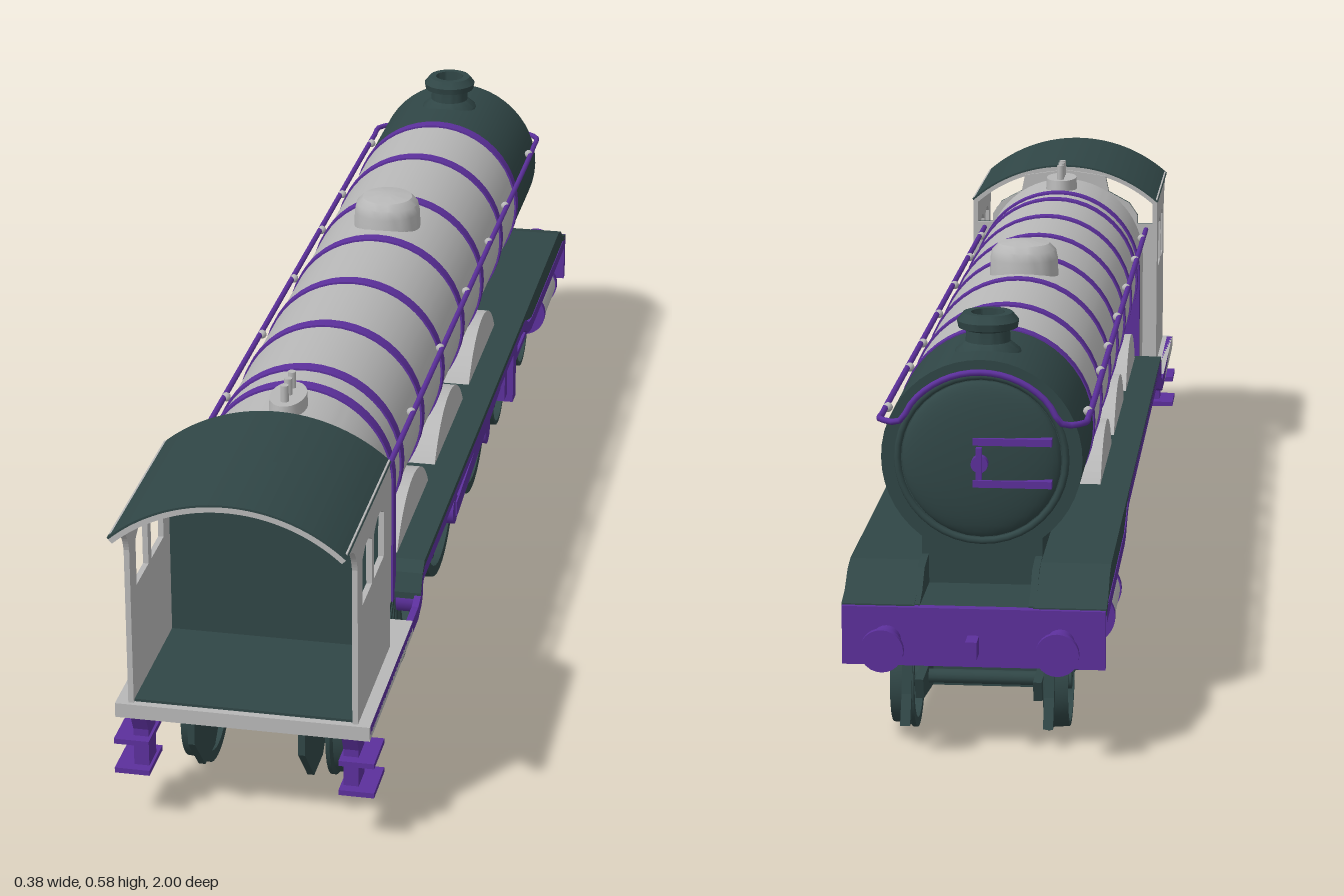
import * as THREE from 'three';
import { toCreasedNormals } from 'three/addons/utils/BufferGeometryUtils.js';

const mat = (name, color) => new THREE.MeshStandardMaterial({ name, color });
const V = (x, y, z) => new THREE.Vector3(x, y, z);

export function createModel() {
  const dark = mat('dark green', 0x304646);
  const grey = mat('light grey', 0xb8b8b8);
  const purple = mat('purple', 0x5c309c);
  const model = new THREE.Group();
  model.name = 'steamLocomotive';

  // ---- helpers ----
  const add = (name, geo, m, x = 0, y = 0, z = 0, parent = model) => {
    const mesh = new THREE.Mesh(geo, m);
    mesh.name = name;
    mesh.position.set(x, y, z);
    parent.add(mesh);
    return mesh;
  };
  // box given by its limits
  const box = (name, m, x0, x1, y0, y1, z0, z1) =>
    add(name, new THREE.BoxGeometry(Math.abs(x1 - x0), y1 - y0, z1 - z0), m, (x0 + x1) / 2, (y0 + y1) / 2, (z0 + z1) / 2);
  const cylZ = (name, m, r, z0, z1, x, y, seg = 32) =>
    add(name, new THREE.CylinderGeometry(r, r, z1 - z0, seg).rotateX(Math.PI / 2), m, x, y, (z0 + z1) / 2);
  const cylX = (r, l, seg = 24) => new THREE.CylinderGeometry(r, r, l, seg).rotateZ(Math.PI / 2);
  const poly = pts => new THREE.Shape(pts.map(p => new THREE.Vector2(...p)));
  // (z, y) outline extruded across x, centred on x
  const plate = (name, m, shape, x, width) => {
    const g = new THREE.ExtrudeGeometry(shape, { depth: width, bevelEnabled: false, curveSegments: 16 });
    g.translate(0, 0, -width / 2).rotateY(-Math.PI / 2);
    return add(name, g, m, x);
  };
  // (x, y) outline extruded from z0 to z1
  const section = (name, m, shape, z0, z1) =>
    add(name, toCreasedNormals(new THREE.ExtrudeGeometry(shape, { depth: z1 - z0, bevelEnabled: false, curveSegments: 24 }), 0.6), m, 0, 0, z0);
  // strip of constant height following a (z, y) path
  const strip = (path, h) => poly([...path, ...path.map(([z, y]) => [z, y - h]).reverse()]);
  const lathe = (pts, seg = 32) =>
    toCreasedNormals(new THREE.LatheGeometry(pts.map(p => new THREE.Vector2(...p)), seg), 0.6);
  const beam = (name, m, x, a, b, h, t) => {
    const dz = b[0] - a[0], dy = b[1] - a[1];
    const mesh = add(name, new THREE.BoxGeometry(t, h, Math.hypot(dz, dy)), m, x, (a[1] + b[1]) / 2, (a[0] + b[0]) / 2);
    mesh.rotation.x = -Math.atan2(dy, dz);
  };

  // ---- boiler, smokebox, firebox ----
  const BY = 0.395, R = 0.14;
  cylZ('boiler', grey, R, -0.6, 0.55, 0, BY, 48);
  cylZ('smokebox', dark, R + 0.001, -0.82, -0.6, 0, BY, 48);
  for (const z of [0.47, 0.303, 0.128, -0.055, -0.24, -0.437, -0.6])
    cylZ('boilerBand', purple, R + 0.003, z - 0.011, z + 0.011, 0, BY, 48);
  const fireboxShape = r => {
    const s = new THREE.Shape();
    s.moveTo(-r, 0.2).lineTo(r, 0.2).lineTo(r, BY);
    s.absarc(0, BY, r, 0, Math.PI, false);
    return s;
  };
  section('firebox', grey, fireboxShape(R), 0.53, 0.69);
  section('fireboxBand', purple, fireboxShape(R + 0.003), 0.524, 0.546);

  // smokebox door and fittings
  add('smokeboxDoor', new THREE.SphereGeometry(0.112, 40, 16).scale(1, 1, 0.2), dark, 0, BY, -0.82);
  add('doorRing', new THREE.TorusGeometry(0.118, 0.005, 8, 40), dark, 0, BY, -0.82);
  for (const y of [0.365, 0.425]) box('doorStrap', purple, -0.1, 0.01, y - 0.005, y + 0.005, -0.846, -0.83);
  cylZ('doorBoss', purple, 0.012, -0.855, -0.83, 0, BY, 16);
  box('doorHandle', purple, -0.004, 0.004, 0.375, 0.42, -0.862, -0.852);

  // chimney, dome, safety valves
  add('chimney', lathe([[0, -0.02], [0.052, -0.02], [0.046, 0], [0.032, 0.012], [0.031, 0.028], [0.042, 0.032],
    [0.044, 0.042], [0.035, 0.053], [0.024, 0.053], [0.022, 0.02], [0, 0.02]]), dark, 0, 0.531, -0.722);
  add('dome', lathe([[0.054, -0.02], [0.053, 0.02], [0.05, 0.034], [0.04, 0.044], [0.018, 0.048], [0, 0.049]]), grey, 0, 0.531, -0.145);
  add('valveBase', new THREE.CylinderGeometry(0.026, 0.028, 0.03, 24).scale(1, 1, 1.75), grey, 0, 0.537, 0.605);
  for (const z of [0.58, 0.605, 0.63]) add('safetyValve', new THREE.CylinderGeometry(0.006, 0.006, 0.03, 10), grey, 0, 0.562, z);

  // handrail running round the smokebox front
  const half = s => [V(s * 0.145, 0.445, 0.697), V(s * 0.145, 0.445, 0.3), V(s * 0.145, 0.445, -0.3), V(s * 0.145, 0.445, -0.77), V(s * 0.143, 0.447, -0.81)];
  const arch = [];
  for (let a = 26; a <= 154; a += 16) {
    const t = a * Math.PI / 180;
    arch.push(V(0.126 * Math.cos(t), BY + 0.126 * Math.sin(t), -0.833));
  }
  const railPath = new THREE.CatmullRomCurve3([...half(1), ...arch, ...half(-1).reverse()], false, 'centripetal');
  add('handrail', new THREE.TubeGeometry(railPath, 240, 0.0045, 8), purple);

  // ---- cab ----
  const roofArc = (r0, r1) => {
    const a = 0.73, s = new THREE.Shape();
    s.absarc(0, 0.31, r1, Math.PI / 2 - a, Math.PI / 2 + a, false);
    s.absarc(0, 0.31, r0, Math.PI / 2 + a, Math.PI / 2 - a, true);
    return s;
  };
  section('roofLining', grey, roofArc(0.239, 0.247), 0.69, 0.998);
  section('roof', dark, roofArc(0.247, 0.25), 0.685, 0.998);
  const bulkhead = poly([[-0.16, 0.2], [0.16, 0.2], [0.16, 0.455], [0.13, 0.455], [0.13, 0.47], [0.115, 0.492], [0.078, 0.512],
    [0.072, 0.541], [0, 0.551], [-0.072, 0.541], [-0.078, 0.512], [-0.115, 0.492], [-0.13, 0.47], [-0.13, 0.455], [-0.16, 0.455]]);
  section('cabFrontInside', dark, bulkhead, 0.692, 0.698);
  section('cabFrontOutside', grey, bulkhead, 0.686, 0.692);
  box('cabFloor', grey, -0.183, 0.183, 0.178, 0.2, 0.6, 0.926);
  box('cabFloorCover', dark, -0.157, 0.157, 0.2, 0.204, 0.698, 0.915);
  const cabSide = new THREE.Shape();
  cabSide.moveTo(0.686, 0.2).lineTo(0.92, 0.2).lineTo(0.92, 0.44);
  cabSide.quadraticCurveTo(0.932, 0.488, 0.99, 0.494);
  cabSide.lineTo(0.99, 0.5).lineTo(0.686, 0.5);
  for (const [z0, z1] of [[0.733, 0.803], [0.82, 0.886]]) {
    const w = new THREE.Path();
    w.moveTo(z0, 0.37).lineTo(z1, 0.37).lineTo(z1, 0.44);
    w.quadraticCurveTo((z0 + z1) / 2, 0.467, z0, 0.44);
    cabSide.holes.push(w);
  }

  // ---- wheels ----
  const wheel = (name, s, z, r, spokes) => {
    const g = new THREE.Group();
    g.name = name;
    g.position.set(s * 0.108, r + 0.005, z);
    model.add(g);
    // tyre with a flange on the inner side
    const t = r * 0.87;
    add('tyre', lathe([[t, -0.017], [r + 0.005, -0.017], [r + 0.005, -0.011], [r, -0.007], [r - 0.002, 0.017], [t, 0.017], [t, -0.017]], 40)
      .rotateZ(-s * Math.PI / 2), dark, 0, 0, 0, g);
    add('hub', cylX(r * 0.2, 0.036), dark, 0, 0, 0, g);
    for (let i = 0; i < spokes; i++) {
      const spoke = new THREE.BoxGeometry(0.012, r * 0.75, r * 0.06 + 0.002).translate(0, r * 0.52, 0);
      add('spoke', spoke, dark, 0, 0, 0, g).rotation.x = i * 2 * Math.PI / spokes;
    }
  };
  const drivers = [0.36, 0.045, -0.27];
  const axles = [...drivers.map(z => ['drivingWheel', z, 0.148, 18]), ['trailingWheel', 0.697, 0.09, 14],
    ['bogieWheel', -0.54, 0.068, 12], ['bogieWheel', -0.805, 0.068, 12]];
  for (const [name, z, r, n] of axles) {
    add('axle', cylX(Math.min(0.014, r * 0.15), 0.2, 12), dark, 0, r + 0.005, z);
    for (const s of [1, -1]) wheel(name, s, z, r, n);
  }

  // ---- footplate outlines ----
  const footPath = [[0.92, 0.2], [0.555, 0.2], [0.535, 0.208], [0.522, 0.235], [0.505, 0.25], [-0.42, 0.25],
    [-0.45, 0.245], [-0.5, 0.22], [-0.53, 0.215], [-0.93, 0.213]];
  const deckPath = [[0.535, 0.212], [0.522, 0.239], [0.505, 0.253], [-0.84, 0.253], [-0.87, 0.246], [-0.9, 0.225], [-0.935, 0.215]];
  const mainFrame = poly([[0.9, 0.18], [0.52, 0.19], [0.5, 0.24], [-0.83, 0.255], [-0.87, 0.25], [-0.9, 0.225], [-0.93, 0.215], [-0.93, 0.14],
    [-0.86, 0.135], [-0.5, 0.15], [-0.42, 0.1], [-0.16, 0.1], [-0.1, 0.125], [0.12, 0.1], [0.24, 0.1], [0.3, 0.125], [0.45, 0.1], [0.52, 0.07],
    [0.62, 0.06], [0.66, 0.1], [0.74, 0.1], [0.78, 0.065], [0.84, 0.065], [0.9, 0.13]]);
  const guardIron = poly([[-0.85, 0.13], [-0.87, 0.13], [-0.885, 0.07], [-0.905, 0.03], [-0.893, 0.03], [-0.87, 0.065]]);
  const splasher = new THREE.Shape();
  splasher.absarc(0, 0, 0.157, 0.55, Math.PI - 0.55, false);

  // ---- parts on both sides ----
  for (const s of [1, -1]) {
    plate('cabSide', grey, cabSide, s * 0.161, 0.008);
    plate('valance', purple, strip(footPath, 0.02), s * 0.178, 0.01);
    plate('runningPlate', dark, strip(deckPath, 0.01), s * 0.1325, 0.101);
    plate('frontSkirt', dark, poly([[-0.43, 0.246], [-0.84, 0.246], [-0.87, 0.24], [-0.92, 0.213], [-0.54, 0.213]]), s * 0.176, 0.012);
    plate('mainFrame', dark, mainFrame, s * 0.08, 0.01);
    plate('guardIron', dark, guardIron, s * 0.1, 0.014);
    for (const z of drivers) plate('splasher', grey, splasher, s * 0.113, 0.05).position.set(s * 0.113, 0.163, z);
    for (const z of [0.6, 0.4, 0.155, -0.08, -0.3, -0.47, -0.73])
      add('railKnob', new THREE.SphereGeometry(0.007, 10, 8), grey, s * 0.142, 0.445, z);

    // cylinder and motion
    cylZ('cylinder', grey, 0.037, -0.8, -0.67, s * 0.148, 0.167);
    for (const z of [-0.812, -0.67]) cylZ('cylinderCover', purple, 0.039, z, z + 0.012, s * 0.148, 0.167);
    cylZ('pistonRod', grey, 0.007, -0.67, -0.5, s * 0.15, 0.165, 12);
    for (const y of [0.14, 0.19]) box('slideBar', purple, s * 0.142, s * 0.158, y - 0.005, y + 0.005, -0.67, -0.45);
    box('crosshead', purple, s * 0.141, s * 0.159, 0.142, 0.188, -0.53, -0.48);
    box('motionBracket', purple, s * 0.13, s * 0.165, 0.09, 0.235, -0.475, -0.445);
    box('valveLink', purple, s * 0.145, s * 0.16, 0.12, 0.225, -0.41, -0.385);
    beam('radiusRod', purple, s * 0.152, [-0.4, 0.19], [-0.62, 0.205], 0.01, 0.008);
    box('couplingRod', purple, s * 0.13, s * 0.14, 0.102, 0.128, -0.27, 0.36);
    beam('connectingRod', purple, s * 0.148, [0.045, 0.115], [-0.5, 0.163], 0.026, 0.009);
    for (const z of drivers) add('crankPin', cylX(0.024, 0.034, 16), purple, s * 0.133, 0.115, z);

    // cab steps
    plate('cabStepPlate', purple, poly([[0.92, 0.18], [0.845, 0.18], [0.865, 0.15], [0.865, 0.085], [0.905, 0.085], [0.905, 0.15]]), s * 0.152, 0.022);
    for (const y of [0.088, 0.135]) box('cabStepTread', purple, s * 0.137, s * 0.188, y - 0.004, y + 0.004, 0.845, 0.92);

    // buffers
    cylZ('bufferStock', purple, 0.02, -0.965, -0.94, s * 0.12, 0.167, 20);
    cylZ('bufferShank', purple, 0.011, -0.99, -0.96, s * 0.12, 0.167, 16);
    cylZ('bufferHead', purple, 0.03, -1, -0.99, s * 0.12, 0.167, 24);

    // bogie side frame
    plate('bogieFrame', dark, poly([[-0.46, 0.09], [-0.88, 0.09], [-0.87, 0.06], [-0.76, 0.045], [-0.58, 0.045], [-0.47, 0.06]]), s * 0.083, 0.012);
  }

  // ---- underframe and front end ----
  box('bufferBeam', purple, -0.182, 0.182, 0.13, 0.213, -0.942, -0.928);
  box('couplingHook', purple, -0.008, 0.008, 0.15, 0.175, -0.975, -0.942);
  box('frontPlate', dark, -0.18, 0.18, 0.203, 0.213, -0.93, -0.8);
  box('smokeboxSaddle', dark, -0.085, 0.085, 0.2, 0.3, -0.815, -0.62);
  box('bogieCentre', dark, -0.085, 0.085, 0.042, 0.085, -0.75, -0.6);
  box('frameTop', dark, -0.08, 0.08, 0.19, 0.2, -0.6, 0.6);
  box('ashpan', grey, -0.068, 0.068, 0.092, 0.118, 0.48, 0.63);
  box('rearStretcher', dark, -0.08, 0.08, 0.045, 0.09, 0.56, 0.63);
  return model;
}
